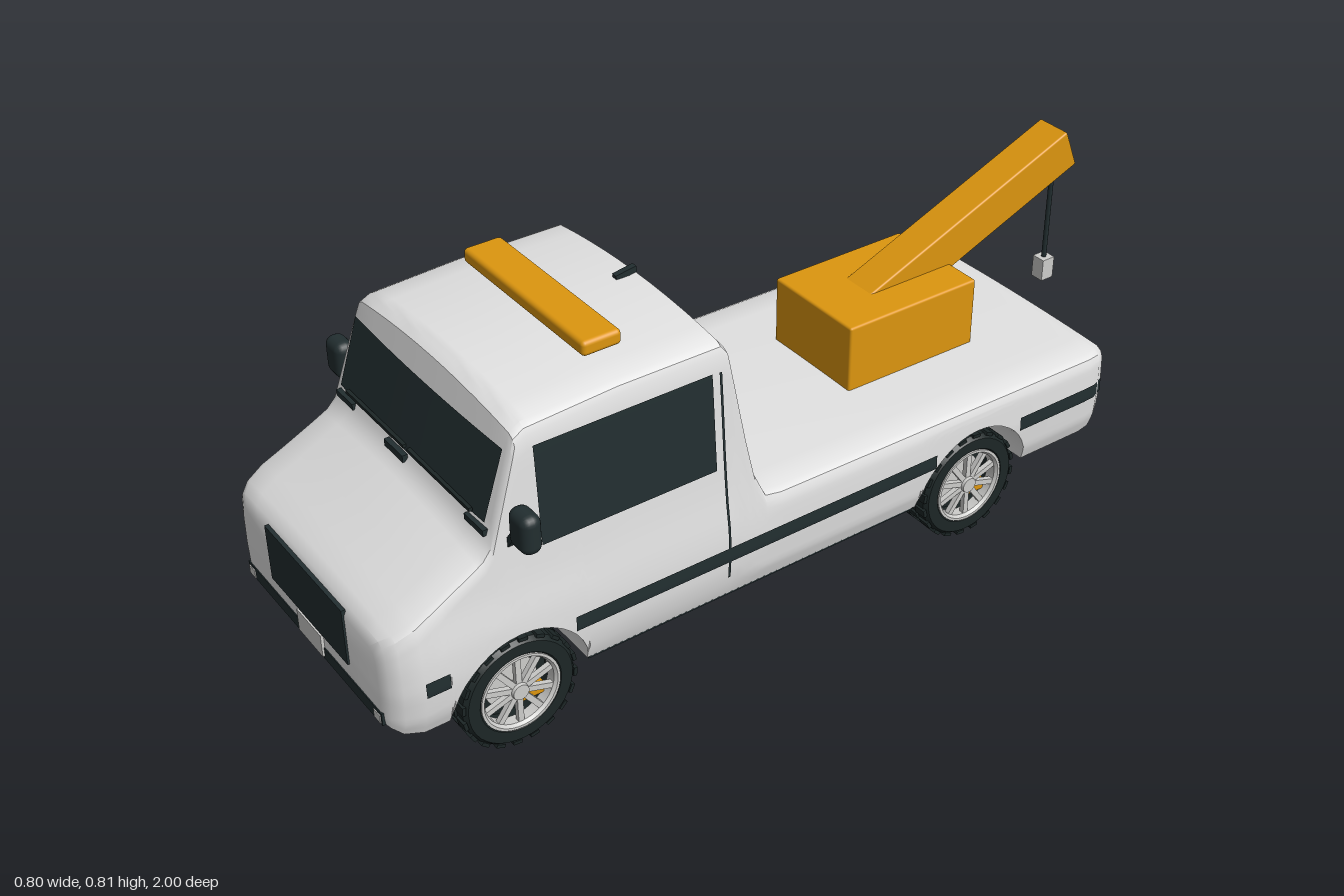
import * as THREE from 'three';
import { toCreasedNormals } from 'three/addons/utils/BufferGeometryUtils.js';
import { RoundedBoxGeometry } from 'three/addons/geometries/RoundedBoxGeometry.js';

const mat = (name, color, side = THREE.FrontSide) => {
  const m = new THREE.MeshStandardMaterial({ color, side });
  m.name = name;
  return m;
};

// Piecewise linear lookup in a table of [position, value]
function lerp(table, p) {
  if (p <= table[0][0]) return table[0][1];
  for (let i = 1; i < table.length; i++) {
    const [a, va] = table[i - 1], [b, vb] = table[i];
    if (p <= b) return va + (vb - va) * (p - a) / (b - a);
  }
  return table[table.length - 1][1];
}

// Body shape: roof line, floor line and corner inset along z, half width along y
const TOP = [[-0.87, 0.33], [-0.86, 0.347], [-0.83, 0.357], [0.08, 0.366], [0.12, 0.378], [0.145, 0.44],
  [0.165, 0.55], [0.195, 0.745], [0.21, 0.766], [0.45, 0.767], [0.66, 0.756], [0.685, 0.742],
  [0.755, 0.53], [0.775, 0.507], [0.88, 0.447], [0.97, 0.397], [0.99, 0.382], [1, 0.36]];
const FLOOR = [[-0.87, 0.19], [-0.84, 0.145], [-0.8, 0.14], [0.93, 0.14], [0.97, 0.15], [1, 0.175]];
const INSET = [[-0.87, 0.05], [-0.86, 0.025], [-0.83, 0.004], [-0.8, 0], [0.93, 0], [0.97, 0.012], [0.99, 0.03], [1, 0.055]];
const WIDTH = [[0.14, 0.322], [0.18, 0.336], [0.25, 0.342], [0.32, 0.339], [0.4, 0.328], [0.5, 0.32], [0.68, 0.308], [0.76, 0.298]];
const AXLES = [0.717, -0.46], WHEEL_R = 0.133, ARCH_R = 0.158;
const crownAt = z => lerp([[0.08, 0.006], [0.2, 0.02], [0.8, 0.02], [1, 0.01]], z);

function bodyRing(z) {
  const t = lerp(TOP, z), b = lerp(FLOOR, z), inset = lerp(INSET, z), crown = crownAt(z);
  let a = b;
  for (const c of AXLES) {
    const d = ARCH_R ** 2 - (z - c) ** 2;
    if (d > 0) a = Math.max(a, WHEEL_R + Math.sqrt(d));
  }
  const w = y => lerp(WIDTH, y) - inset;
  const s = t - crown - 0.022, half = [[0, b], [0.2, b], [0.2, a]];
  for (let i = 0; i <= 14; i++) {
    const y = a + (s - a) * i / 14;
    half.push([w(y), y]);
  }
  half.push([w(s) - 0.006, s + 0.014]);
  for (let f = 1; f > 0.1; f -= 0.2) half.push([f * (w(s) - 0.02), t - crown * f * f]);
  half.push([0, t]);
  const other = half.slice(1, -1).reverse().map(([x, y]) => [-x, y]);
  return [...half, ...other].map(([x, y]) => [x, y, z]);
}

function bodyGeometry() {
  const zs = new Set(TOP.concat(FLOOR, INSET).map(p => p[0]));
  for (const c of AXLES) for (let i = 0; i <= 20; i++) zs.add(+(c + ARCH_R * Math.cos(i * Math.PI / 20)).toFixed(4));
  const rings = [...zs].sort((p, q) => p - q).map(bodyRing);
  const n = rings[0].length, pos = rings.flat(2), idx = [];
  for (let i = 0; i < rings.length - 1; i++) for (let j = 0; j < n; j++) {
    const k = (j + 1) % n, p = i * n, q = p + n;
    idx.push(p + j, p + k, q + j, p + k, q + k, q + j);
  }
  // end caps
  const rear = pos.length / 3, front = rear + 1, last = (rings.length - 1) * n;
  pos.push(0, 0.26, -0.87, 0, 0.27, 1);
  for (let j = 0; j < n; j++) {
    const k = (j + 1) % n;
    idx.push(rear, k, j, front, last + j, last + k);
  }
  const g = new THREE.BufferGeometry();
  g.setAttribute('position', new THREE.Float32BufferAttribute(pos, 3));
  g.setIndex(idx);
  return toCreasedNormals(g, 0.55);
}

// Thin skin from a rule mapping (u, v) in 0..1 to a point
function skin(rule, nu, nv) {
  const g = new THREE.PlaneGeometry(1, 1, nu, nv), p = g.attributes.position;
  for (let i = 0; i < p.count; i++) p.setXYZ(i, ...rule(p.getX(i) + 0.5, p.getY(i) + 0.5));
  g.computeVertexNormals();
  return g;
}

export function createModel() {
  const root = new THREE.Group();
  root.name = 'towTruck';
  const white = mat('body white', 0xe2e2e2), dark = mat('dark trim', 0x222e30, THREE.DoubleSide);
  const orange = mat('amber', 0xdd960f), red = mat('tail light red', 0xa00c28);
  const silver = mat('silver', 0xcdcdcb), rubber = mat('tyre rubber', 0x1c2626);
  const add = (name, geo, m, x = 0, y = 0, z = 0, parent = root) => {
    const mesh = new THREE.Mesh(geo, m);
    mesh.name = name;
    mesh.position.set(x, y, z);
    parent.add(mesh);
    return mesh;
  };
  const box = (name, m, w, h, d, x, y, z, parent) => add(name, new THREE.BoxGeometry(w, h, d), m, x, y, z, parent);
  const round = (name, m, w, h, d, r, x, y, z) => add(name, new RoundedBoxGeometry(w, h, d, 3, r), m, x, y, z);

  add('body', bodyGeometry(), white);

  // Side glass, stripes, door seams, mirrors and sills
  for (const s of [1, -1]) {
    const patch = (name, z0, z1, y0, y1) => add(name, skin((u, v) => {
      const y = y0 + (y1 - y0) * v, z = z0 + (z1 - z0) * (s > 0 ? 1 - u : u);
      return [s * (lerp(WIDTH, y) - lerp(INSET, z) + 0.004), y, z];
    }, 8, 8), dark);
    patch('sideWindow', 0.24, 0.65, 0.47, 0.692);
    patch('stripeFront', 0.877, 0.93, 0.242, 0.277);
    patch('stripeMiddle', -0.338, 0.594, 0.242, 0.277);
    patch('stripeRear', -0.845, -0.584, 0.242, 0.277);
    patch('doorSeam', 0.217, 0.223, 0.2, 0.69);
    box('sill', dark, 0.02, 0.014, 0.85, s * 0.31, 0.141, 0.13);
    round('mirror', dark, 0.068, 0.088, 0.045, 0.02, s * 0.367, 0.558, 0.708);
    const arm = box('mirrorArm', dark, 0.05, 0.014, 0.02, s * 0.327, 0.515, 0.712);
    arm.rotation.z = s * 0.95;
    box('tailLight', red, 0.075, 0.085, 0.009, s * 0.262, 0.265, -0.869);
    box('fogLight', silver, 0.026, 0.02, 0.008, s * 0.272, 0.184, 1.0);
    box('cowlVent', dark, 0.07, 0.014, 0.014, s * 0.26, 0.526, 0.752);
  }

  // Windscreen following the curved slope, with wipers
  add('windscreen', skin((u, v) => {
    const x = (u - 0.5) * 0.576, y = 0.545 + 0.148 * v, lift = 0.02 * (x / 0.287) ** 2;
    return [x, y, 0.692 + (0.742 - y - lift) * 0.33];
  }, 12, 4), dark);
  for (const x of [-0.125, 0.13]) box('wiper', rubber, 0.24, 0.008, 0.008, x, 0.555, 0.757);
  box('wiperBase', dark, 0.075, 0.016, 0.012, -0.037, 0.53, 0.761);

  // Nose details
  box('grille', dark, 0.33, 0.134, 0.009, 0, 0.304, 1.0);
  box('bumperStrip', dark, 0.58, 0.03, 0.008, 0, 0.186, 0.998);
  box('frontPlate', silver, 0.104, 0.054, 0.009, 0, 0.206, 1.002);
  box('frontLip', dark, 0.56, 0.014, 0.03, 0, 0.141, 0.955);

  // Tail details
  box('rearPlateFrame', dark, 0.116, 0.056, 0.006, 0, 0.265, -0.87);
  box('rearPlate', silver, 0.104, 0.046, 0.008, 0, 0.265, -0.871);
  box('rearBadge', red, 0.018, 0.008, 0.006, 0, 0.316, -0.87);
  box('rearStep', dark, 0.56, 0.018, 0.03, 0, 0.15, -0.848);
  for (let i = -2; i <= 2; i++) box('rearStepBracket', dark, 0.01, 0.035, 0.012, i * 0.085, 0.17, -0.864);

  // Roof equipment
  round('lightBar', orange, 0.45, 0.034, 0.09, 0.01, 0, 0.791, 0.435);
  const aerial = box('aerial', dark, 0.014, 0.014, 0.05, 0, 0.772, 0.235);
  aerial.rotation.x = 0.15;

  // Crane with cable and hook block
  round('craneBase', orange, 0.268, 0.168, 0.36, 0.006, -0.002, 0.438, -0.438);
  const boom = round('craneBoom', orange, 0.09, 0.1, 0.62, 0.005, 0, 0.591, -0.687);
  boom.rotation.x = 0.388;
  add('cable', new THREE.CylinderGeometry(0.006, 0.006, 0.27, 10), dark, 0, 0.535, -0.963);
  box('hookBlock', silver, 0.035, 0.055, 0.035, 0, 0.377, -0.963);

  // Wheels: axis along y, outer face at +y, then turned outward
  const lathe = pts => toCreasedNormals(new THREE.LatheGeometry(pts.map(p => new THREE.Vector2(...p)), 40), 0.6);
  const tyreGeo = lathe([[0.088, -0.048], [0.12, -0.05], [0.128, -0.04], [0.128, 0.04], [0.12, 0.05],
    [0.094, 0.05], [0.088, 0.044], [0.088, -0.048]]);
  const rimGeo = lathe([[0.08, 0.02], [0.089, 0.02], [0.091, 0.051], [0.085, 0.051], [0.08, 0.044], [0.08, 0.02]]);
  const hubGeo = new THREE.CylinderGeometry(0.018, 0.022, 0.022, 20);
  const discGeo = new THREE.CylinderGeometry(0.06, 0.06, 0.01, 28);
  const backGeo = new THREE.CylinderGeometry(0.089, 0.089, 0.04, 28);
  const spokeGeo = new THREE.BoxGeometry(0.068, 0.012, 0.013);
  const lugGeo = new THREE.BoxGeometry(0.008, 0.03, 0.02);
  for (const s of [1, -1]) for (const z of AXLES) {
    const wheel = new THREE.Group();
    wheel.name = z > 0 ? 'frontWheel' : 'rearWheel';
    add('tyre', tyreGeo, rubber, 0, 0, 0, wheel);
    add('rim', rimGeo, silver, 0, 0, 0, wheel);
    add('wheelBack', backGeo, rubber, 0, -0.025, 0, wheel);
    add('brakeDisc', discGeo, silver, 0, 0.005, 0, wheel);
    box('brakeCaliper', orange, 0.028, 0.02, 0.05, s * 0.035, 0.016, -0.04, wheel);
    add('hub', hubGeo, silver, 0, 0.04, 0, wheel);
    for (let i = 0; i < 10; i++) {
      const a = i * Math.PI / 5;
      add('spoke', spokeGeo, silver, 0.05 * Math.cos(a), 0.038, -0.05 * Math.sin(a), wheel).rotation.y = a;
    }
    for (let i = 0; i < 60; i++) {
      const a = i * Math.PI / 30;
      add('treadBlock', lugGeo, rubber, 0.1287 * Math.cos(a), (i % 3 - 1) * 0.033, -0.1287 * Math.sin(a), wheel).rotation.y = a;
    }
    wheel.rotation.z = -s * Math.PI / 2;
    wheel.position.set(s * 0.276, WHEEL_R, z);
    root.add(wheel);
  }
  return root;
}
